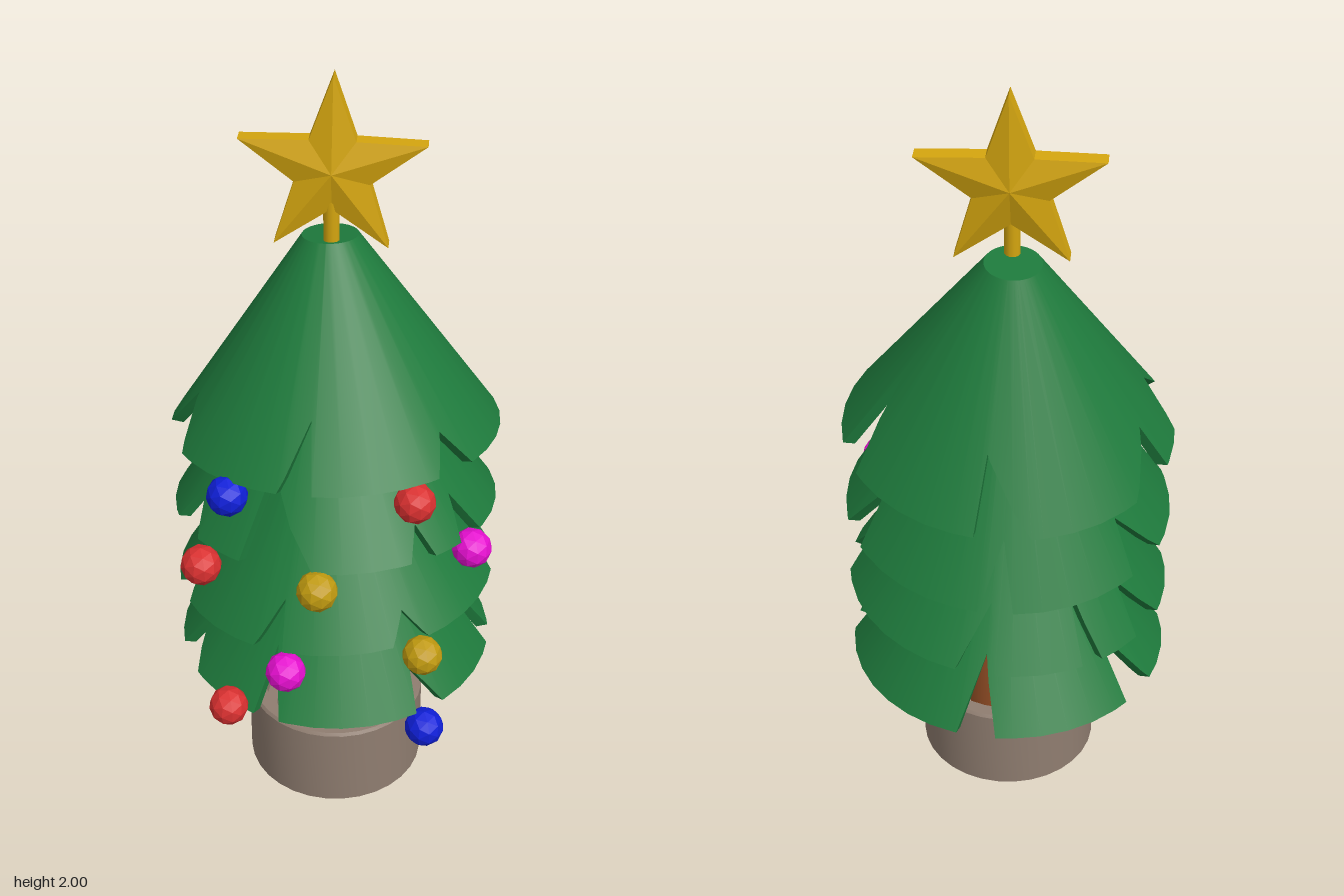
import * as THREE from 'three';
import { toCreasedNormals } from 'three/addons/utils/BufferGeometryUtils.js';

const mat = (color, flatShading = false) => new THREE.MeshStandardMaterial({ color, flatShading });
const RAD = Math.PI / 180;

function part(name, geometry, material, x = 0, y = 0, z = 0) {
  const mesh = new THREE.Mesh(geometry, material);
  mesh.name = name;
  mesh.position.set(x, y, z);
  return mesh;
}

// Thick hollow cone whose hem is cut by notches [startDeg, apexDeg, endDeg, depth 0..1]
function skirtGeometry(notches) {
  const rTop = 0.07, rBase = 0.42, height = 0.5, wall = 0.03;
  const depthAt = (deg) => {
    for (const [s, a, e, d] of notches) {
      for (const t of [deg, deg - 360, deg + 360]) {
        if (t >= s && t <= e) return d * (t <= a ? (t - s) / (a - s) : (e - t) / (e - a));
      }
    }
    return 0;
  };
  const angles = new Set();
  for (let d = 0; d < 360; d += 10) angles.add(d);
  notches.forEach(([s, a, e]) => [s, a, e].forEach((d) => angles.add((d + 360) % 360)));
  const sorted = [...angles].sort((p, q) => p - q);
  sorted.push(360);

  const pos = [], idx = [], rows = 6;
  for (const deg of sorted) {
    const k = depthAt(deg % 360);
    const r = rBase + (rTop - rBase) * k, y = height * k;
    const profile = [[0, height], [rTop, height], [r, y], [r - wall, y - 0.008], [rTop - wall, height - 0.02], [0, height - 0.02]];
    for (const [pr, py] of profile) pos.push(pr * Math.sin(deg * RAD), py, pr * Math.cos(deg * RAD));
  }
  for (let i = 0; i < sorted.length - 1; i++) {
    for (let j = 0; j < rows - 1; j++) {
      const a = i * rows + j, b = a + rows;
      if (j < rows - 2) idx.push(a, a + 1, b + 1);
      if (j > 0) idx.push(a, j < rows - 2 ? b + 1 : a + 1, b);
    }
  }
  const g = new THREE.BufferGeometry();
  g.setAttribute('position', new THREE.Float32BufferAttribute(pos, 3));
  g.setIndex(idx);
  return toCreasedNormals(g, 0.5);
}

// Five-pointed star: flat rim with a raised centre on both faces
function starGeometry(R, r, half, bulge) {
  const pos = [];
  const pt = (i, z) => {
    const a = i * Math.PI / 5, q = i % 2 ? r : R;
    return [q * Math.sin(a), q * Math.cos(a), z];
  };
  for (let i = 0; i < 10; i++) {
    const f0 = pt(i, half), f1 = pt(i + 1, half), b0 = pt(i, -half), b1 = pt(i + 1, -half);
    pos.push(0, 0, half + bulge, ...f1, ...f0);
    pos.push(0, 0, -half - bulge, ...b0, ...b1);
    pos.push(...f0, ...f1, ...b1, ...f0, ...b1, ...b0);
  }
  const g = new THREE.BufferGeometry();
  g.setAttribute('position', new THREE.Float32BufferAttribute(pos, 3));
  g.computeVertexNormals();
  return g;
}

export function createModel() {
  const tree = new THREE.Group();
  tree.name = 'decoratedTree';
  const green = mat(0x1e7a3c), gold = mat(0xd4a50f);

  // Pot: open above and below, with a ledge inside
  const potProfile = [[0.232, 0], [0.24, 0], [0.24, 0.235], [0.234, 0.243], [0.2, 0.243], [0.195, 0.15], [0.165, 0.15], [0.165, 0.11], [0.232, 0.11], [0.232, 0]]
    .map(([x, y]) => new THREE.Vector2(x, y));
  const potGeo = toCreasedNormals(new THREE.LatheGeometry(potProfile, 32), 0.5);
  tree.add(part('pot', potGeo, mat(0x8f7d70), 0.01, 0, 0.017));

  // Trunk
  tree.add(part('trunk', new THREE.CylinderGeometry(0.12, 0.12, 0.74, 32), mat(0x9c5328), 0.015, 0.51, 0.018));

  // Branch layers, bottom to top: base height, lean about x and z, notches
  const layers = [
    [0.39, 0, 0, [[-13, -11, -3, 0.32], [48, 51, 60, 0.2], [97, 99, 107, 0.55], [180, 188, 194, 0.35], [246, 248, 262, 0.35], [298, 302, 316, 0.2]]],
    [0.62, -0.03, 0.05, [[-12, -3, -1, 0.22], [38, 45, 52, 0.14], [98, 105, 113, 0.2], [180, 190, 194, 0.3], [225, 227, 233, 0.35], [250, 253, 266, 0.25], [298, 304, 312, 0.2]]],
    [0.85, -0.1, 0.055, [[-17, -14, 10, 0.42], [44, 50, 54, 0.15], [66, 72, 78, 0.2], [122, 130, 136, 0.25], [188, 196, 200, 0.3], [246, 250, 264, 0.25], [304, 310, 322, 0.2]]],
    [1.08, -0.107, 0.06, [[-2, 8, 10, 0.3], [54, 62, 70, 0.17], [120, 123, 136, 0.5], [187, 188.5, 206, 0.33], [246, 266, 268, 0.22], [287, 298, 313, 0.22]]],
  ];
  layers.forEach(([y, leanX, leanZ, notches], i) => {
    const layer = part('branchLayer' + (i + 1), skirtGeometry(notches), green, -0.005, y, -0.03);
    layer.rotation.set(leanX, 0, leanZ);
    tree.add(layer);
  });

  // Star on its stem
  tree.add(part('starStem', new THREE.CylinderGeometry(0.02, 0.02, 0.2, 12), gold, -0.02, 1.65, -0.045));
  const star = part('star', starGeometry(0.235, 0.095, 0.021, 0.022), gold, -0.02, 1.765, -0.055);
  star.rotation.set(-0.05, 0.23, 0);
  tree.add(star);

  // Baubles
  const red = mat(0xd93030, true), blue = mat(0x0f1fd8, true);
  const pink = mat(0xe60fd0, true), yellow = mat(0xc09a10, true);
  const ball = new THREE.IcosahedronGeometry(0.052, 1);
  [
    [blue, -0.155, 1.07, 0.36], [red, 0.285, 1.07, 0.25],
    [red, -0.222, 0.86, 0.385], [yellow, 0.082, 0.855, 0.39], [pink, 0.39, 0.825, 0.07],
    [pink, 0, 0.58, 0.4], [yellow, 0.315, 0.59, 0.245],
    [red, -0.165, 0.405, 0.385], [blue, 0.325, 0.34, 0.24],
  ].forEach(([m, x, y, z], i) => tree.add(part('bauble' + (i + 1), ball, m, x, y, z)));

  return tree;
}
